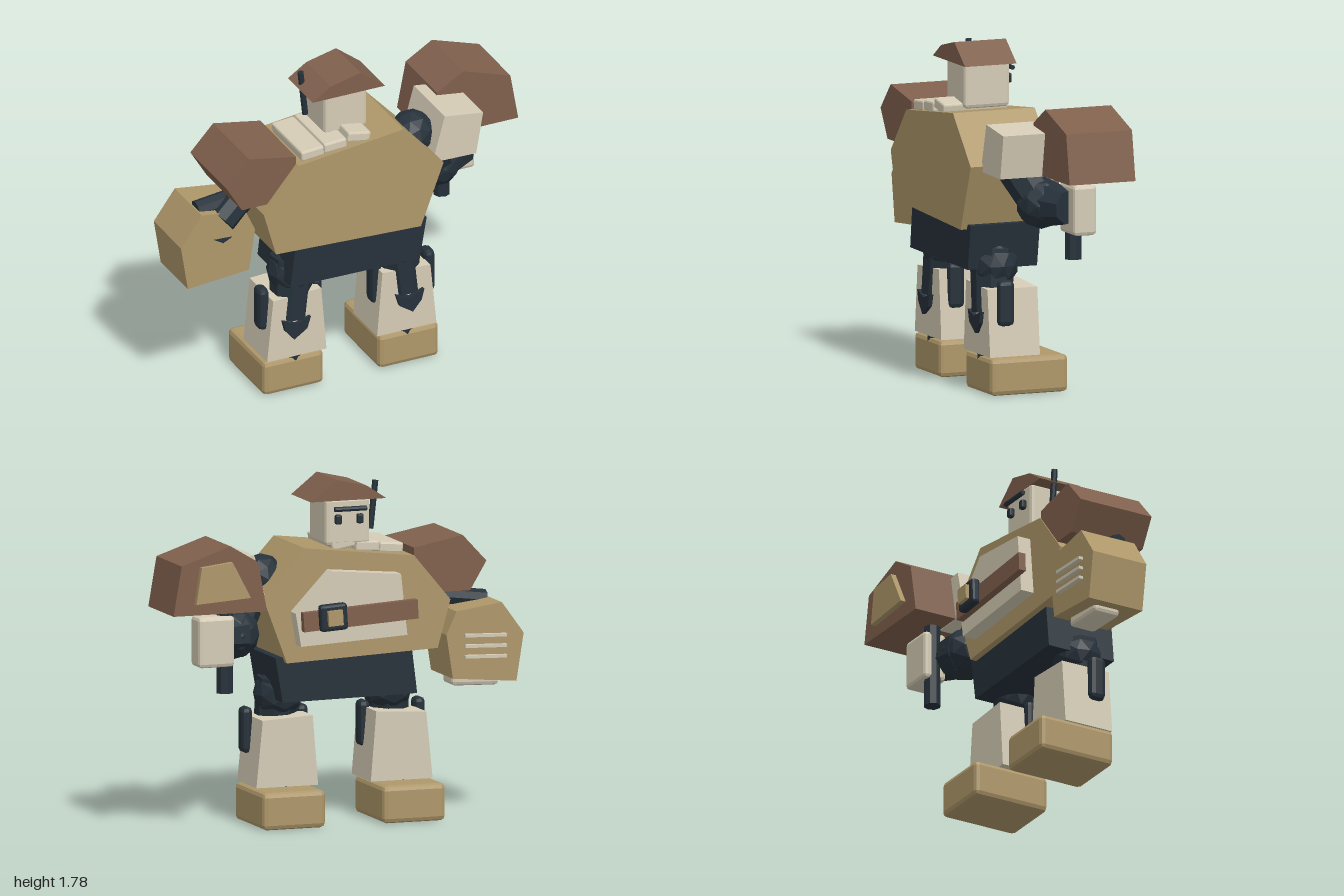
import * as THREE from 'three';
import { RoundedBoxGeometry } from 'three/addons/geometries/RoundedBoxGeometry.js';

const TAN = 0xae9769, BROWN = 0x80604d, PALE = 0xd5ccb6, DARK = 0x26313a;

export function createModel() {
  const root = new THREE.Group();
  const mats = {};
  const mat = (c) => (mats[c] ??= new THREE.MeshStandardMaterial({ color: c, flatShading: true }));

  const add = (name, geo, color, x = 0, y = 0, z = 0, rz = 0) => {
    const m = new THREE.Mesh(geo, mat(color));
    m.name = name;
    m.position.set(x, y, z);
    m.rotation.z = rz;
    root.add(m);
    return m;
  };
  // Outline in x/y pushed from z0 to z1
  const plate = (name, pts, z0, z1, color) => {
    const shape = new THREE.Shape(pts.map((p) => new THREE.Vector2(p[0], p[1])));
    return add(name, new THREE.ExtrudeGeometry(shape, { depth: z1 - z0, bevelEnabled: false }), color, 0, 0, z0);
  };
  const box = (name, w, h, d, color, x, y, z, rz) => add(name, new THREE.BoxGeometry(w, h, d), color, x, y, z, rz);
  // Box with small chamfered edges
  const chamfer = (name, w, h, d, r, color, x, y, z, rz) =>
    add(name, new RoundedBoxGeometry(w, h, d, 1, r), color, x, y, z, rz);
  // Tapered limb between two points
  const limb = (name, a, b, ra, rb, color = DARK, sides = 8) => {
    const A = new THREE.Vector3(...a), B = new THREE.Vector3(...b);
    const m = add(name, new THREE.CylinderGeometry(rb, ra, A.distanceTo(B), sides), color);
    m.position.copy(A).add(B).multiplyScalar(0.5);
    m.quaternion.setFromUnitVectors(new THREE.Vector3(0, 1, 0), B.clone().sub(A).normalize());
    return m;
  };
  const joint = (name, r, x, y, z) => add(name, new THREE.IcosahedronGeometry(r, 1), DARK, x, y, z);

  // Torso and pelvis
  plate('torso', [[-0.41, 1.38], [0.19, 1.45], [0.42, 1.2], [0.29, 0.855], [-0.54, 0.89], [-0.61, 1.14]], -0.105, 0.355, TAN);
  plate('pelvis', [[-0.41, 0.9], [0.34, 0.88], [0.3, 0.645], [-0.44, 0.655]], -0.07, 0.32, DARK);
  plate('chestPanel', [[0.27, 1.125], [0.07, 1.335], [-0.31, 1.3], [-0.345, 0.98], [0.24, 0.95]], -0.18, -0.1, PALE);

  // Strap with square buckle
  box('strap', 0.63, 0.1, 0.04, BROWN, -0.075, 1.1, -0.2, -0.06);
  chamfer('buckle', 0.15, 0.14, 0.05, 0.015, DARK, 0.085, 1.105, -0.235, -0.06);
  box('buckleInset', 0.08, 0.08, 0.03, TAN, 0.085, 1.105, -0.265, -0.06);

  // Segmented pads on top of the torso
  [[-0.315, 1.415, 0.08], [-0.185, 1.43, 0.06], [-0.05, 1.45, -0.18]].forEach(([x, y, r]) =>
    chamfer('collarPad', 0.13, 0.055, 0.36, 0.01, PALE, x, y, 0.15, r));

  // Head, hat, antenna and face
  chamfer('head', 0.245, 0.25, 0.255, 0.02, PALE, -0.075, 1.565, 0.097);
  plate('hat', [[-0.285, 1.675], [-0.18, 1.745], [-0.01, 1.785], [0.13, 1.675]], -0.03, 0.26, BROWN);
  limb('antenna', [-0.235, 1.505, 0.07], [-0.262, 1.755, 0.07], 0.017, 0.017);
  for (const x of [-0.135, -0.015]) chamfer('eye', 0.035, 0.05, 0.03, 0.008, DARK, x, 1.58, -0.045);
  limb('brow', [-0.165, 1.635, -0.06], [0.01, 1.635, -0.06], 0.013, 0.013);

  // Legs, mirrored about the pelvis centre
  for (const s of [1, -1]) {
    const X = (u) => -0.055 + s * u;
    const side = s > 0 ? 'left' : 'right';
    joint(side + 'Hip', 0.13, X(0.3), 0.66, 0.15);
    limb(side + 'Thigh', [X(0.29), 0.74, 0.15], [X(0.325), 0.41, 0.175], 0.12, 0.1);
    plate(side + 'Greave', [[X(0.175), 0.565], [X(0.45), 0.55], [X(0.485), 0.2], [X(0.145), 0.2]], -0.03, 0.25, PALE);
    plate(side + 'KneeSpike', [[X(0.245), 0.425], [X(0.325), 0.4], [X(0.405), 0.43], [X(0.39), 0.37],
      [X(0.34), 0.31], [X(0.265), 0.36]], 0.2, 0.272, DARK);
    for (const u of [0.17, 0.475]) chamfer(side + 'KneeHinge', 0.06, 0.24, 0.09, 0.025, DARK, X(u), 0.48, 0.16, 0);
    limb(side + 'Ankle', [X(0.32), 0.17, 0.12], [X(0.32), 0.21, 0.12], 0.13, 0.13);
    chamfer(side + 'Foot', 0.345, 0.195, 0.435, 0.025, TAN, X(0.33), 0.0975, 0.0325);
  }

  // Right arm: shoulder guard, arm and large gauntlet
  plate('rightShoulderGuard', [[-0.81, 1.33], [-0.68, 1.47], [-0.41, 1.42], [-0.41, 1.2], [-0.46, 1.18], [-0.72, 1.18]],
    -0.1, 0.325, BROWN);
  limb('rightUpperArm', [-0.5, 1.24, 0.1], [-0.75, 1.04, 0.15], 0.08, 0.075);
  limb('rightElbow', [-0.62, 1.13, 0.09], [-0.87, 1.1, 0.09], 0.05, 0.05);
  plate('rightGauntlet', [[-1, 0.95], [-0.88, 1.115], [-0.63, 1.08], [-0.575, 0.96], [-0.61, 0.73], [-0.96, 0.7]],
    -0.14, 0.18, TAN);
  plate('gauntletNotch', [[-0.81, 0.955], [-0.71, 0.95], [-0.76, 0.925]], 0.17, 0.186, DARK);
  for (let i = 0; i < 3; i++)
    box('gauntletVent', 0.23, 0.016, 0.03, PALE, -0.785, 0.84 + i * 0.055, -0.15, 0.03);
  chamfer('gauntletBase', 0.26, 0.07, 0.15, 0.02, PALE, -0.765, 0.71, 0.01, 0.03);

  // Left arm: shoulder block, bent arm and fist
  joint('leftShoulder', 0.12, 0.35, 1.28, 0.12);
  plate('leftShoulderBlock', [[0.46, 1.425], [0.68, 1.395], [0.64, 1.165], [0.39, 1.17]], -0.08, 0.285, PALE);
  limb('leftUpperArm', [0.42, 1.22, 0.12], [0.55, 1.0, 0.02], 0.11, 0.1);
  joint('leftElbow', 0.135, 0.54, 1.01, 0.01);
  limb('leftForearm', [0.53, 1.01, 0.0], [0.73, 1.01, -0.06], 0.13, 0.09);
  chamfer('leftFist', 0.2, 0.265, 0.13, 0.02, PALE, 0.705, 1.0, -0.125);

  // Hammer held in the left fist
  limb('hammerHandle', [0.64, 0.725, -0.125], [0.64, 1.25, -0.125], 0.045, 0.045);
  plate('hammerHead', [[0.48, 1.17], [0.53, 1.43], [0.68, 1.52], [0.95, 1.43], [0.995, 1.17]], -0.32, 0.05, BROWN);
  plate('hammerPlate', [[0.88, 1.23], [0.85, 1.42], [0.68, 1.44], [0.58, 1.25]], -0.35, -0.31, TAN);

  return root;
}
